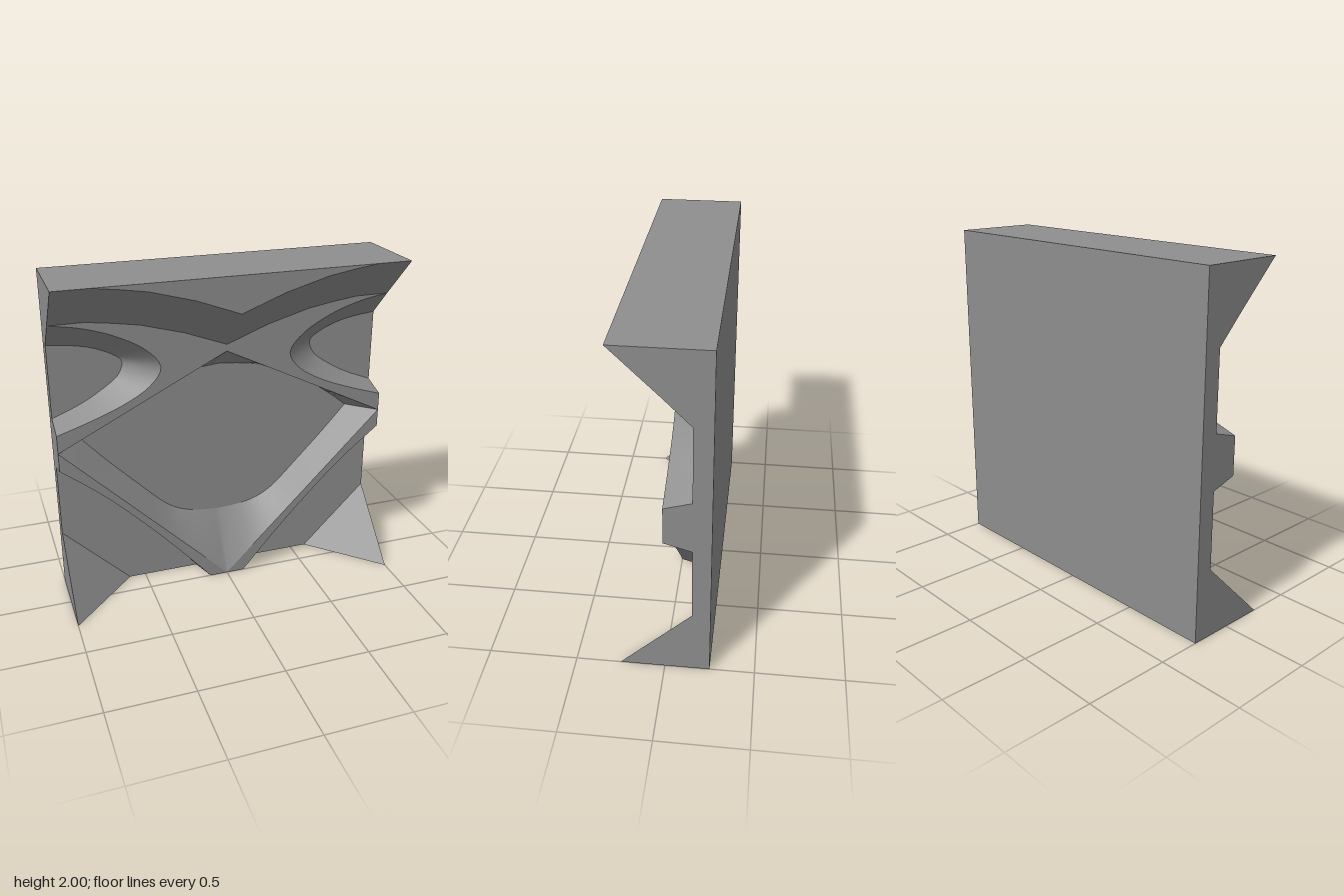
import * as THREE from 'three';
import { toCreasedNormals } from 'three/addons/utils/BufferGeometryUtils.js';

const BACK = -0.25, FLOOR = -0.15, FACE = 0, LIP = 0.25;
const FRONT = [0, 0, 1];

export function createModel() {
  const group = new THREE.Group();
  const stone = new THREE.MeshStandardMaterial({ color: 0x8e8e8e });
  stone.name = 'grey stone';

  const add = (name, geometry) => {
    const mesh = new THREE.Mesh(geometry, stone);
    mesh.name = name;
    group.add(mesh);
    return mesh;
  };

  // Triangles, each turned to face the given direction
  const surface = (name, triangles, dir = FRONT) => {
    const d = new THREE.Vector3(...dir), t = new THREE.Triangle(), n = new THREE.Vector3();
    const pos = [];
    for (const [a, b, c] of triangles) {
      t.set(new THREE.Vector3(...a), new THREE.Vector3(...b), new THREE.Vector3(...c));
      if (t.getArea() < 1e-8) continue;
      t.getNormal(n);
      pos.push(...(n.dot(d) > 0 ? [a, b, c] : [a, c, b]).flat());
    }
    const g = new THREE.BufferGeometry();
    g.setAttribute('position', new THREE.Float32BufferAttribute(pos, 3));
    add(name, toCreasedNormals(g, 0.5));
  };

  // Flat polygon, triangulated across the axis it faces
  const face = (name, pts, dir = FRONT) => {
    const drop = dir.findIndex((v) => v !== 0);
    const flat = pts.map((p) => new THREE.Vector2(...p.filter((_, i) => i !== drop)));
    if (THREE.ShapeUtils.isClockWise(flat)) { flat.reverse(); pts = [...pts].reverse(); }
    const tris = THREE.ShapeUtils.triangulateShape(flat, []);
    surface(name, tris.map((t) => t.map((i) => pts[i])), dir);
  };

  // Ruled wall between two edges with equal point counts
  const wall = (name, a, b) => {
    const tris = [];
    for (let i = 0; i < a.length - 1; i++) {
      tris.push([a[i], a[i + 1], b[i]], [a[i + 1], b[i + 1], b[i]]);
    }
    surface(name, tris);
  };

  const curve = (pts, n) => new THREE.SplineCurve(pts.map((p) => new THREE.Vector2(...p)))
    .getPoints(n).map((p) => [p.x, p.y]);
  const line = (a, b, n) => Array.from({ length: n + 1 }, (_, i) =>
    [a[0] + (b[0] - a[0]) * i / n, a[1] + (b[1] - a[1]) * i / n]);

  // Edges of the right half, as x and y
  const lipEdge = [[0, 1.79], [0.25, 1.885], [0.5, 1.955], [0.65, 1.98], [0.8, 2], [1, 2]];
  const pocketRim = curve([[1, 1.75], [0.83, 1.72], [0.65, 1.66], [0.48, 1.565], [0.39, 1.45],
    [0.46, 1.34], [0.61, 1.25], [0.8, 1.175], [1, 1.11]], 32);
  const pocketFloor = curve([[1, 1.595], [0.86, 1.578], [0.74, 1.55], [0.63, 1.5], [0.58, 1.45],
    [0.61, 1.37], [0.7, 1.3], [0.83, 1.225], [1, 1.155]], 32);
  const lowerRim = curve([[1, 0.89], [0.75, 0.685], [0.5, 0.437], [0.3, 0.22], [0.11, 0]], 16);
  const lowerFloor = curve([[1, 0.845], [0.75, 0.655], [0.5, 0.41], [0.3, 0.18], [0.16, 0]], 16);
  const bowlTopRim = line([1, 1], [0, 1.5], 16);
  const bowlTopFloor = curve([[0.84, 1], [0.7, 1.11], [0.5, 1.235], [0.25, 1.34], [0, 1.375]], 16);
  const bowlLowRim = line([1, 1], [0, 0], 20);
  const bowlLowFloor = curve([[0.84, 1], [0.7, 0.845], [0.54, 0.68], [0.34, 0.485],
    [0.18, 0.413], [0, 0.395]], 20);

  // Back slab
  add('backSlab', new THREE.BoxGeometry(2, 2, FLOOR - BACK))
    .position.set(0, 1, (FLOOR + BACK) / 2);

  for (const s of [1, -1]) {
    const at = (pts, z, dy = 0) => pts.map(([x, y]) => [s * x, y + dy, z]);
    const end = (pts) => pts.map(([y, z]) => [s, y, z]);
    const side = [s, 0, 0], down = [0, -1, 0];

    // Overhanging cornice
    face('corniceFront', [...at(lipEdge.slice(0, 5), LIP), [0, 2, LIP]]);
    wall('corniceSlope', at(lipEdge, LIP), at(lipEdge, FACE, -0.25));
    face('corniceEnd', end([[2, FLOOR], [2, LIP], [1.75, FACE], [1.595, FLOOR]]), side);

    // Raised lattice above and below the central bowl
    face('upperLattice', [...at(lipEdge, FACE, -0.25), ...at(pocketRim.slice(1), FACE),
      [s, 1, FACE], [0, 1.5, FACE]]);
    face('lowerLattice', [[s, 1, FACE], ...at(lowerRim, FACE), [0, 0, FACE]]);
    face('latticeEnd', end([[0.845, FLOOR], [0.89, FACE], [1.11, FACE], [1.155, FLOOR]]), side);
    face('latticeFoot', [[0, 0, FLOOR], [0, 0, FACE], [s * 0.11, 0, FACE], [s * 0.16, 0, FLOOR]], down);

    // Sloping walls of the recesses
    wall('sidePocketWall', at(pocketRim, FACE), at(pocketFloor, FLOOR));
    wall('lowerRecessWall', at(lowerRim, FACE), at(lowerFloor, FLOOR));
    wall('bowlUpperWall', at(bowlTopRim, FACE), at(bowlTopFloor, FLOOR));

    // Corner pyramid
    const top = [s, 0.4, FLOOR], inner = [s * 0.6, 0, FLOOR], tip = [s, 0, LIP], root = [s, 0, FLOOR];
    surface('cornerSlope', [[top, inner, tip]]);
    surface('cornerSide', [[top, tip, root]], side);
    surface('cornerFoot', [[inner, tip, root]], down);
  }

  // Bowl's lower wall, smooth across the middle
  const both = (pts, z) => [...pts.map(([x, y]) => [-x, y, z]),
    ...pts.slice(0, -1).reverse().map(([x, y]) => [x, y, z])];
  wall('bowlLowerWall', both(bowlLowRim, FACE), both(bowlLowFloor, FLOOR));

  // Cornice top
  face('corniceTop', [[-1, 2, FLOOR], [1, 2, FLOOR], [1, 2, LIP], [-1, 2, LIP]], [0, 1, 0]);

  return group;
}
